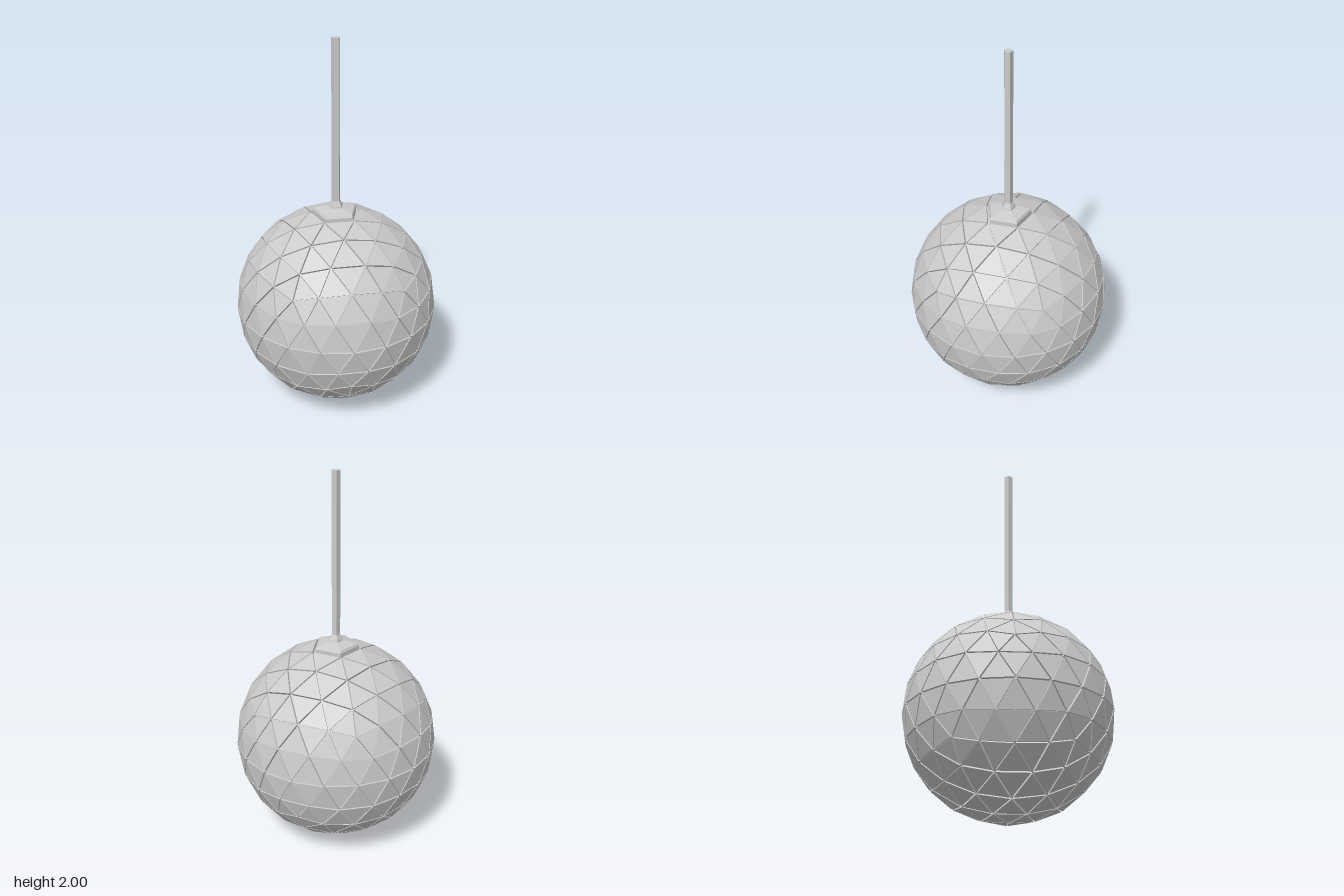
import * as THREE from 'three';

const R = 0.541;        // ball radius
const CORE = 0.97;      // groove floor, as a share of the radius
const INSET = 0.08;     // how far each panel shrinks toward its middle

const material = new THREE.MeshStandardMaterial({ color: 0xcccccc, flatShading: true });

// Geodesic ball turned so a five-fold vertex points straight up
function geodesic(radius) {
  return new THREE.IcosahedronGeometry(radius, 3).rotateZ(-Math.atan(2 / (1 + Math.sqrt(5))));
}

// One raised triangular panel per geodesic face, leaving grooves between them
function panelGeometry() {
  const source = geodesic(R).attributes.position;
  const out = [];
  const push = (...points) => points.forEach((p) => out.push(p.x, p.y, p.z));
  for (let i = 0; i < source.count; i += 3) {
    const corners = [0, 1, 2].map((k) => new THREE.Vector3().fromBufferAttribute(source, i + k));
    const middle = new THREE.Vector3();
    corners.forEach((c) => middle.addScaledVector(c, 1 / 3));
    if (middle.y > 0.97 * R) continue; // the collar takes the place of the top five
    const top = corners.map((c) => c.clone().lerp(middle, INSET));
    const base = corners.map((c) => c.clone().lerp(middle, INSET * 0.8).multiplyScalar(CORE));
    push(...top);
    for (let k = 0; k < 3; k++) {
      const n = (k + 1) % 3;
      push(base[k], base[n], top[n], base[k], top[n], top[k]);
    }
  }
  const geometry = new THREE.BufferGeometry();
  geometry.setAttribute('position', new THREE.Float32BufferAttribute(out, 3));
  geometry.computeVertexNormals();
  return geometry;
}

// Five-sided turned part with one corner toward +x
function pentagonal(profile) {
  const points = profile.map(([r, y]) => new THREE.Vector2(r, y));
  return new THREE.LatheGeometry(points, 5, Math.PI / 2);
}

export function createModel() {
  const model = new THREE.Group();
  model.name = 'pendantBall';

  const add = (name, geometry, y = 0) => {
    const mesh = new THREE.Mesh(geometry, material);
    mesh.name = name;
    mesh.position.y = y;
    model.add(mesh);
  };

  // Ball: groove floor and the panels standing on it
  add('ballCore', geodesic(R * CORE), R);
  add('ballPanels', panelGeometry(), R);

  // Collar with a bevelled rim
  add('collar', pentagonal([[0.122, 1.03], [0.122, 1.077], [0.114, 1.09], [0.04, 1.105], [0, 1.108]]));

  // Rod with a flared foot and a flat end
  add('rod', pentagonal([[0.04, 1.1], [0.038, 1.112], [0.0235, 1.14], [0.0235, 2], [0, 2]]));

  return model;
}
